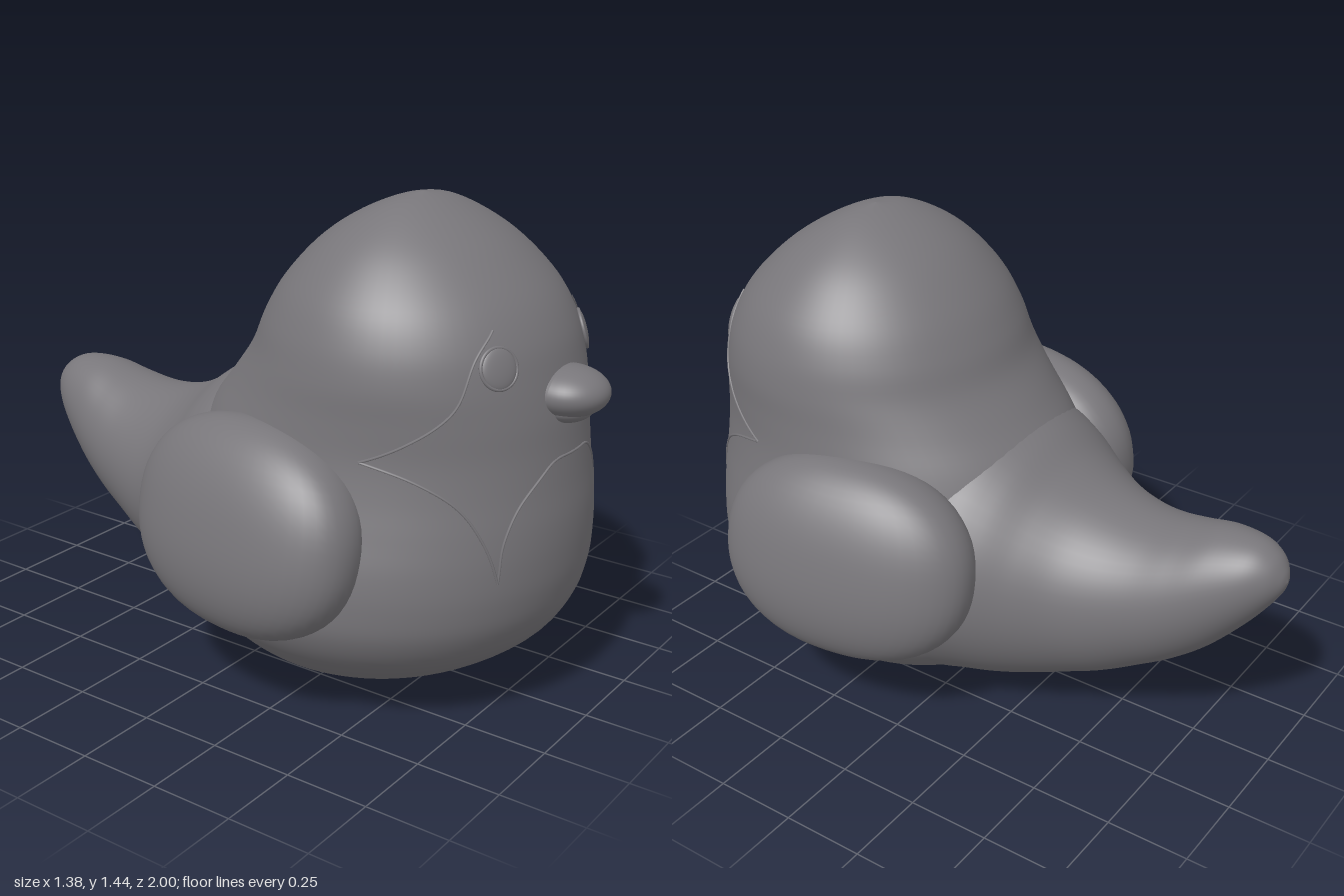
import * as THREE from 'three';

const grey = new THREE.MeshStandardMaterial({ color: 0x78767a });
grey.name = 'slate grey';

// Smooth curve through rows of numbers, sampled with t from 0 to 1
function smoothRows(rows) {
  const curve = new THREE.CubicInterpolant(
    rows.map((_, i) => i), rows.flat(), rows[0].length, new Array(rows[0].length));
  return t => Array.from(curve.evaluate(t * (rows.length - 1)));
}

// Skin over closed rings; point(t, angle) gives [x, y, z]
function loft(point, steps, sides) {
  const pos = [], index = [];
  for (let i = 0; i <= steps; i++) {
    for (let j = 0; j < sides; j++) {
      pos.push(...point(i / steps, j / sides * Math.PI * 2));
      if (i === steps) continue;
      const a = i * sides + j, b = i * sides + (j + 1) % sides;
      index.push(a, b, a + sides, b, b + sides, a + sides);
    }
  }
  const g = new THREE.BufferGeometry();
  g.setAttribute('position', new THREE.Float32BufferAttribute(pos, 3));
  g.setIndex(index);
  g.computeVertexNormals();
  return g;
}

// Trunk and head: height, front z, back z, half width
const trunk = smoothRows([
  [0, 0.25, 0.25, 0], [0.012, 0.4, 0.1, 0.17], [0.045, 0.54, -0.04, 0.29],
  [0.1, 0.68, -0.14, 0.395], [0.2, 0.82, -0.23, 0.505], [0.3, 0.89, -0.27, 0.56],
  [0.4, 0.92, -0.285, 0.57], [0.5, 0.93, -0.29, 0.56], [0.6, 0.93, -0.29, 0.535],
  [0.7, 0.92, -0.27, 0.51], [0.8, 0.91, -0.22, 0.49], [0.9, 0.9, -0.14, 0.48],
  [1.0, 0.88, -0.065, 0.475], [1.1, 0.85, -0.02, 0.455], [1.2, 0.79, 0.04, 0.41],
  [1.3, 0.69, 0.13, 0.325], [1.37, 0.59, 0.225, 0.23], [1.42, 0.49, 0.33, 0.12],
  [1.44, 0.415, 0.415, 0],
]);

// Lower back and tail: z, top, bottom, half width
const tail = smoothRows([
  [0.4, 0.78, 0.03, 0.48], [0.2, 0.82, 0.012, 0.5], [0, 0.88, 0.02, 0.49],
  [-0.1, 0.89, 0.035, 0.46], [-0.2, 0.845, 0.055, 0.42], [-0.3, 0.775, 0.085, 0.365],
  [-0.4, 0.725, 0.12, 0.31], [-0.5, 0.7, 0.16, 0.27], [-0.6, 0.697, 0.215, 0.235],
  [-0.7, 0.713, 0.275, 0.205], [-0.8, 0.735, 0.355, 0.17], [-0.9, 0.733, 0.465, 0.123],
  [-0.96, 0.705, 0.545, 0.078], [-0.99, 0.665, 0.595, 0.035], [-1, 0.63, 0.63, 0],
]);

// Point on the front of the trunk at a given x and y
function onFace(x, y) {
  let lo = 0, hi = 1;
  for (let i = 0; i < 24; i++) {
    const mid = (lo + hi) / 2;
    if (trunk(mid)[0] < y) lo = mid; else hi = mid;
  }
  const [, front, back, w] = trunk(lo);
  const depth = Math.sqrt(Math.max(0, 1 - (x / w) ** 2));
  return new THREE.Vector3(x, y, (front + back) / 2 + (front - back) / 2 * depth);
}

// Ellipsoid, slightly squared when p is over 2
function blob(rx, ry, rz, p = 2) {
  const g = new THREE.SphereGeometry(1, 48, 32), v = new THREE.Vector3();
  const pos = g.attributes.position;
  for (let i = 0; i < pos.count; i++) {
    v.fromBufferAttribute(pos, i);
    const len = (Math.abs(v.x) ** p + Math.abs(v.y) ** p + Math.abs(v.z) ** p) ** (1 / p);
    pos.setXYZ(i, v.x / len * rx, v.y / len * ry, v.z / len * rz);
  }
  g.computeVertexNormals();
  return g;
}

export function createModel() {
  const model = new THREE.Group();
  model.name = 'bird';
  const add = (name, geometry, x = 0, y = 0, z = 0) => {
    const mesh = new THREE.Mesh(geometry, grey);
    mesh.name = name;
    mesh.position.set(x, y, z);
    model.add(mesh);
    return mesh;
  };

  add('headAndChest', loft((t, a) => {
    const [y, f, b, w] = trunk(t);
    return [w * Math.sin(a), y, (f + b) / 2 + (f - b) / 2 * Math.cos(a)];
  }, 90, 72));

  add('backAndTail', loft((t, a) => {
    const [z, top, bottom, w] = tail(t);
    return [w * Math.sin(a), (top + bottom) / 2 + (top - bottom) / 2 * Math.cos(a), z];
  }, 80, 56));

  // Beak
  add('upperBeak', blob(0.115, 0.07, 0.12), 0, 0.953, 0.88);
  add('lowerBeak', blob(0.085, 0.045, 0.075), 0, 0.912, 0.885);

  for (const [side, s] of [['left', 1], ['right', -1]]) {
    // Folded wing, leaning in at the top and back
    const wingShape = blob(0.18, 0.305, 0.4, 2.25);
    if (s < 0) wingShape.rotateY(Math.PI);
    const wing = add(side + 'Wing', wingShape, s * 0.49, 0.55, 0.165);
    wing.rotation.set(0, s * 0.16, s * 0.2);

    // Eye: low dome inside a fine rim, turned to follow the face
    const p = onFace(s * 0.238, 1.057);
    const du = onFace(s * 0.238 + 0.02, 1.057).sub(p);
    const dv = onFace(s * 0.238, 1.077).sub(p);
    const out = p.clone().add(du.cross(dv).normalize());
    const eye = add(side + 'Eye', blob(0.052, 0.056, 0.012), p.x, p.y, p.z);
    const rim = add(side + 'EyeRim', new THREE.TorusGeometry(0.055, 0.005, 8, 40), p.x, p.y, p.z);
    eye.lookAt(out);
    rim.lookAt(out);

    // Fine raised edges of the cheek feathers
    const edges = {
      CheekEdge: [[0.22, 1.15], [0.29, 1.08], [0.35, 0.95], [0.42, 0.86], [0.465, 0.805]],
      OuterFeatherEdge: [[0.465, 0.805], [0.41, 0.76], [0.35, 0.69], [0.31, 0.59], [0.28, 0.475]],
      InnerFeatherEdge: [[0.28, 0.475], [0.265, 0.58], [0.22, 0.67], [0.15, 0.74], [0.09, 0.78], [0, 0.785]],
    };
    for (const [name, pts] of Object.entries(edges)) {
      const flat = new THREE.CatmullRomCurve3(pts.map(([x, y]) => new THREE.Vector3(s * x, y, 0)));
      const path = new THREE.CatmullRomCurve3(flat.getPoints(24).map(q => onFace(q.x, q.y)));
      add(side + name, new THREE.TubeGeometry(path, 48, 0.004, 6));
    }
  }
  return model;
}
